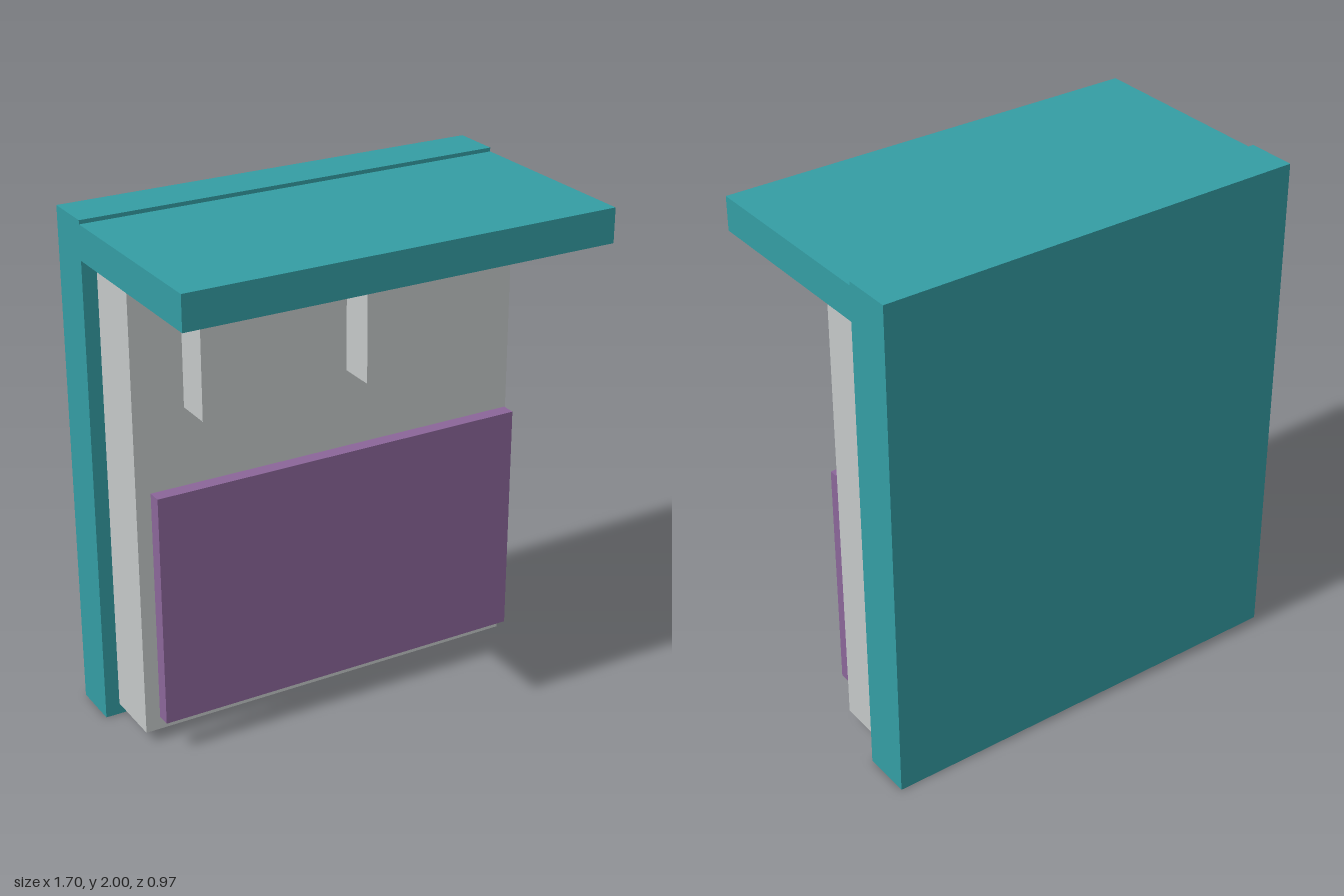
import * as THREE from 'three';

const paint = (name, color) => {
  const m = new THREE.MeshStandardMaterial({ color });
  m.name = name;
  return m;
};

export function createModel() {
  const bed = new THREE.Group();
  bed.name = 'bed';
  const teal = paint('teal frame', 0x349da4);
  const grey = paint('pale grey linen', 0xc4c8c8);
  const purple = paint('purple blanket', 0x8b6699);

  // Box given by its limits on each axis
  const box = (name, material, [x0, x1], [y0, y1], [z0, z1]) => {
    const mesh = new THREE.Mesh(new THREE.BoxGeometry(x1 - x0, y1 - y0, z1 - z0), material);
    mesh.name = name;
    mesh.position.set((x0 + x1) / 2, (y0 + y1) / 2, (z0 + z1) / 2);
    bed.add(mesh);
  };

  // Frame: base slab standing upright, headboard jutting forward at the top
  box('bedBase', teal, [-0.85, 0.85], [0, 2], [-0.487, -0.295]);
  box('headboard', teal, [-0.85, 0.85], [1.853, 1.985], [-0.295, 0.487]);

  // Mattress between the base and the bedding
  box('mattress', grey, [-0.793, 0.793], [0.045, 1.853], [-0.295, -0.055]);

  // Pair of pillows
  box('leftPillow', grey, [0.05, 0.612], [1.355, 1.728], [-0.012, 0.133]);
  box('rightPillow', grey, [-0.612, -0.05], [1.355, 1.728], [-0.012, 0.133]);

  // Blanket over the lower half
  box('blanket', purple, [-0.756, 0.756], [0.13, 1.055], [-0.008, 0.048]);

  return bed;
}
